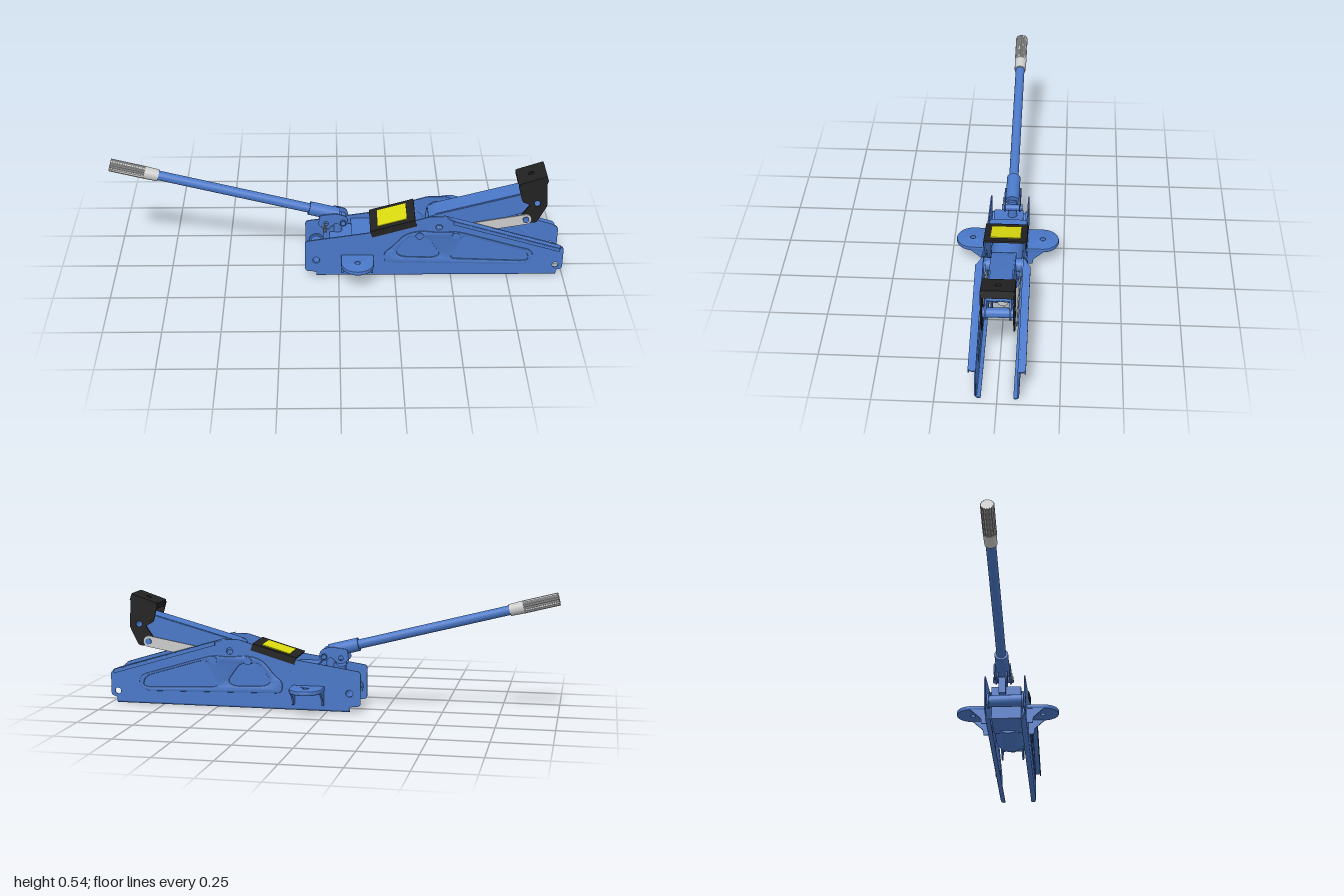
import * as THREE from 'three';
import { toCreasedNormals } from 'three/addons/utils/BufferGeometryUtils.js';

const mat = (color) => new THREE.MeshStandardMaterial({ color, side: THREE.DoubleSide });

export function createModel() {
  const root = new THREE.Group();
  const blue = mat(0x4a78c8), black = mat(0x222222), grey = mat(0xcccccc), yellow = mat(0xdede10);

  const add = (name, geo, material, parent = root) => {
    const m = new THREE.Mesh(geo, material);
    m.name = name;
    parent.add(m);
    return m;
  };
  const hole = (x, y, r) => new THREE.Path().absarc(x, y, r, 0, Math.PI * 2, true);
  // closed outline with softly rounded corners
  const outline = (pts, r = 0.008, Type = THREE.Shape) => {
    const s = new Type(), v = pts.map((p) => new THREE.Vector2(...p)), n = v.length;
    v.forEach((p, i) => {
      const step = (q) => {
        const d = q.clone().sub(p), l = d.length();
        return p.clone().add(d.multiplyScalar(Math.min(r, l * 0.45) / l));
      };
      const a = step(v[(i + n - 1) % n]), b = step(v[(i + 1) % n]);
      if (i) s.lineTo(a.x, a.y); else s.moveTo(a.x, a.y);
      s.quadraticCurveTo(p.x, p.y, b.x, b.y);
    });
    s.closePath();
    return s;
  };
  // sheet lying in the xy plane, from z0 to z0 + depth
  const sheet = (shape, z0, depth, bevel = 0) => {
    const g = new THREE.ExtrudeGeometry(shape, {
      depth: depth - bevel, curveSegments: 8, bevelEnabled: bevel > 0,
      bevelThickness: bevel, bevelSize: bevel, bevelOffset: -bevel, bevelSegments: 2,
    });
    g.translate(0, 0, z0);
    return toCreasedNormals(g, 0.6);
  };
  const ring = (x, y, r, inner, z0, depth) => {
    const s = new THREE.Shape().absarc(x, y, r, 0, Math.PI * 2);
    s.holes.push(hole(x, y, inner));
    return sheet(s, z0, depth);
  };
  // round bar between two points
  const bar = (a, b, r, sides = 24, r2 = r) => {
    const p = new THREE.Vector3(...a), q = new THREE.Vector3(...b), d = q.clone().sub(p);
    const g = new THREE.CylinderGeometry(r2, r, d.length(), sides);
    g.applyQuaternion(new THREE.Quaternion().setFromUnitVectors(new THREE.Vector3(0, 1, 0), d.normalize()));
    const c = p.add(q).multiplyScalar(0.5);
    return g.translate(c.x, c.y, c.z);
  };

  // one side of the frame, built at +z and mirrored for the other
  const frameSide = (name) => {
    const g = new THREE.Group();
    g.name = name;
    const web = outline([[-0.15, 0.03], [-0.10, 0.025], [-0.10, 0.012], [0.97, 0.012], [0.97, 0.03], [0.997, 0.035],
      [0.997, 0.145], [0.96, 0.165], [0.48, 0.308], [0.40, 0.31], [0.32, 0.285], [0.14, 0.228], [-0.15, 0.184]], 0.015);
    web.holes.push(hole(-0.10, 0.086, 0.016), hole(0.965, 0.056, 0.014), hole(0.44, 0.256, 0.015));
    add('sideWeb', sheet(web, 0.082, 0.006), blue, g);

    // raised stiffening panel with two sunken triangular fields
    const panel = outline([[0.20, 0.075], [0.83, 0.062], [0.865, 0.09], [0.855, 0.135], [0.52, 0.235],
      [0.44, 0.23], [0.36, 0.24], [0.29, 0.222], [0.23, 0.15], [0.20, 0.13]], 0.03);
    const fields = [
      [[0.25, 0.125], [0.30, 0.205], [0.39, 0.205], [0.45, 0.12], [0.42, 0.10], [0.28, 0.105]],
      [[0.49, 0.095], [0.55, 0.215], [0.60, 0.20], [0.83, 0.13], [0.845, 0.09], [0.82, 0.08]],
    ];
    fields.forEach((f) => panel.holes.push(outline(f, 0.025, THREE.Path)));
    add('raisedPanel', sheet(panel, 0.085, 0.008, 0.004), blue, g);
    for (const x of [0.355, 0.515]) add('rivet', bar([x, 0.215, 0.08], [x, 0.215, 0.098], 0.017), blue, g);

    // flanges: inward at the bottom, outward along the sloping top edge
    const foot = new THREE.Shape().moveTo(-0.065, 0.001).lineTo(-0.074, 0.001)
      .quadraticCurveTo(-0.088, 0.001, -0.088, 0.018).lineTo(-0.083, 0.018)
      .quadraticCurveTo(-0.083, 0.006, -0.074, 0.006).lineTo(-0.065, 0.006);
    const footGeo = sheet(foot, 0, 1.07);
    footGeo.rotateY(Math.PI / 2).translate(-0.10, 0, 0);
    add('bottomFlange', footGeo, blue, g);
    const dx = 0.52, dy = -0.158, len = Math.hypot(dx, dy);
    const lip = new THREE.Shape().moveTo(0, 0.084).lineTo(0.05, 0.113).lineTo(len - 0.01, 0.113).lineTo(len, 0.104).lineTo(len, 0.084);
    const lipGeo = sheet(lip, 0, 0.007);
    lipGeo.rotateX(Math.PI / 2).rotateZ(Math.atan2(dy, dx)).translate(0.46, 0.315, 0);
    add('topLip', lipGeo, blue, g);
    const drop = outline([[0.50, 0.30], [0.975, 0.155], [0.975, 0.14], [0.50, 0.284]], 0.003);
    add('lipEdge', sheet(drop, 0.109, 0.005), blue, g);

    // foot ear with a rounded end and two gussets
    const ear = new THREE.Shape().moveTo(0.01, 0.088).lineTo(0.01, 0.155)
      .absarc(0.082, 0.155, 0.072, Math.PI, 0, true).lineTo(0.154, 0.088);
    ear.holes.push(hole(0.082, 0.155, 0.016));
    const earGeo = sheet(ear, 0, 0.015, 0.004);
    earGeo.rotateX(Math.PI / 2).translate(0, 0.111, 0);
    add('earTop', earGeo, blue, g);
    const gusset = outline([[-0.088, 0.10], [-0.165, 0.10], [-0.115, 0.055], [-0.113, 0.03], [-0.088, 0.03]], 0.006);
    for (const x of [0.012, 0.144]) {
      const e = sheet(gusset, 0, 0.008);
      e.rotateY(Math.PI / 2).translate(x, 0, 0);
      add('earGusset', e, blue, g);
    }
    add('pivotWasher', ring(0.44, 0.245, 0.042, 0.016, 0.074, 0.007), blue, g);
    add('rollerFlange', ring(-0.10, 0.086, 0.034, 0.016, 0.070, 0.009), blue, g);

    // lever side of the lifting arm, with its lower crank
    const side = outline([[0.385, 0.22], [0.395, 0.29], [0.43, 0.30], [0.82, 0.405], [0.875, 0.405], [0.90, 0.36],
      [0.87, 0.325], [0.55, 0.225], [0.50, 0.04], [0.44, 0.04]], 0.02);
    side.holes.push(hole(0.866, 0.362, 0.014), hole(0.44, 0.256, 0.016));
    add('armSide', sheet(side, 0.045, 0.007), blue, g);

    // levelling link
    const link = new THREE.Shape();
    const ang = Math.atan2(0.07, 0.39), c = Math.PI / 2;
    link.absarc(0.43, 0.215, 0.025, ang + c, ang + 3 * c).absarc(0.82, 0.285, 0.025, ang - c, ang + c).closePath();
    add('levelLink', sheet(link, 0.069, 0.005), grey, g);
    add('linkPin', bar([0.82, 0.285, 0.06], [0.82, 0.285, 0.08], 0.014), blue, g);

    // cheek of the saddle
    const cheek = outline([[0.777, 0.452], [0.90, 0.493], [0.91, 0.35], [0.868, 0.265], [0.80, 0.262],
      [0.79, 0.29], [0.835, 0.355], [0.80, 0.37]], 0.012);
    cheek.holes.push(hole(0.866, 0.362, 0.014));
    add('saddleCheek', sheet(cheek, 0.061, 0.006), black, g);
    return g;
  };
  root.add(frameSide('leftFrameSide'));
  const other = frameSide('rightFrameSide');
  other.scale.z = -1;
  root.add(other);

  // hollow cross tubes
  add('rearRoller', ring(-0.10, 0.086, 0.026, 0.016, -0.08, 0.16), blue);
  add('armPivotTube', ring(0.44, 0.256, 0.028, 0.016, -0.082, 0.164), blue);
  add('saddlePivotTube', ring(0.866, 0.362, 0.02, 0.014, -0.062, 0.124), blue);

  // arm top plate, folded slightly at the rear
  const armTop = outline([[0.395, 0.285], [0.43, 0.302], [0.82, 0.408], [0.85, 0.408], [0.85, 0.40], [0.82, 0.399], [0.43, 0.292], [0.395, 0.272]], 0.004);
  add('armTop', sheet(armTop, -0.046, 0.092), blue);
  add('crankPin', bar([0.475, 0.10, -0.052], [0.475, 0.10, 0.052], 0.02), blue);

  // saddle top with a centre hole and turned-down edges
  const saddle = new THREE.Group();
  saddle.name = 'saddleTop';
  saddle.position.set(0.84, 0.474, 0);
  saddle.rotation.z = Math.atan2(0.042, 0.123);
  const top = outline([[-0.064, -0.067], [0.064, -0.067], [0.064, 0.067], [-0.064, 0.067]], 0.01);
  top.holes.push(hole(0, 0, 0.013));
  const topGeo = sheet(top, 0, 0.007);
  topGeo.rotateX(Math.PI / 2).translate(0, 0.004, 0);
  add('saddlePlate', topGeo, black, saddle);
  for (const s of [-1, 1]) {
    add('saddleEdge', new THREE.BoxGeometry(0.006, 0.03, 0.128), black, saddle).position.set(s * 0.06, -0.013, 0);
  }
  root.add(saddle);

  // hydraulic unit
  add('pumpBlock', new THREE.BoxGeometry(0.17, 0.15, 0.13), blue).position.set(0.045, 0.105, 0);
  add('reservoir', bar([0.1, 0.09, 0], [0.33, 0.09, 0], 0.071, 40), blue);
  add('hexNut', bar([0.32, 0.098, 0], [0.355, 0.098, 0], 0.058, 6), blue);
  add('pistonRod', bar([0.35, 0.11, 0], [0.51, 0.11, 0], 0.023), grey);

  // sloping cover and its coloured panel
  const cover = new THREE.Group();
  cover.name = 'cover';
  cover.position.set(0.237, 0.262, 0);
  cover.rotation.z = 0.285;
  add('coverPlate', new THREE.BoxGeometry(0.205, 0.008, 0.182), black, cover);
  add('coverPanel', new THREE.BoxGeometry(0.132, 0.004, 0.13), yellow, cover).position.set(0, 0.005, 0);
  for (const s of [-1, 1]) add('coverFlap', new THREE.BoxGeometry(0.205, 0.03, 0.004), black, cover).position.set(0, -0.013, s * 0.09);
  root.add(cover);
  add('rearDeck', new THREE.BoxGeometry(0.10, 0.008, 0.162), blue).position.set(0.105, 0.195, 0);

  // handle, running along one sloping axis
  const hz = -0.016;
  const at = (x) => [x, 0.30 - 0.26 * (x + 0.15), hz];
  add('handleRod', bar(at(-0.82), at(-0.03), 0.021), blue);
  add('handleSocket', bar(at(-0.13), at(0.0), 0.03), blue);
  add('gripCollar', bar(at(-0.845), at(-0.785), 0.028, 24, 0.026), grey);
  const teeth = [];
  for (let i = 0; i < 48; i++) {
    const a = (i / 48) * Math.PI * 2, r = i % 3 ? 0.028 : 0.0235;
    teeth.push(new THREE.Vector2(Math.cos(a) * r, Math.sin(a) * r));
  }
  const grip = add('flutedGrip', sheet(new THREE.Shape(teeth), 0, 0.152), grey);
  grip.position.set(...at(-0.992));
  grip.lookAt(...at(0));

  // handle yoke, pump plunger and return spring
  const yoke = outline([[-0.09, 0.225], [-0.085, 0.275], [-0.01, 0.285], [0.035, 0.27], [0.045, 0.235], [0.02, 0.215], [-0.01, 0.24], [-0.05, 0.205]], 0.014);
  yoke.holes.push(hole(-0.055, 0.235, 0.011), hole(0.02, 0.24, 0.01));
  for (const z of [hz - 0.036, hz + 0.03]) add('handleYoke', sheet(yoke, z, 0.006), blue);
  for (const z of [hz - 0.024, hz + 0.018]) add('yokeLug', ring(-0.055, 0.218, 0.025, 0.011, z, 0.006), blue);
  add('yokePin', ring(0.02, 0.24, 0.014, 0.01, hz - 0.045, 0.09), blue);
  add('plunger', bar([-0.005, 0.16, hz], [-0.005, 0.265, hz], 0.021), blue);
  add('yokeMount', new THREE.BoxGeometry(0.05, 0.07, 0.03), blue).position.set(-0.045, 0.175, hz);
  const coil = [];
  for (let i = 0; i <= 60; i++) {
    const a = (i / 60) * Math.PI * 12;
    coil.push(new THREE.Vector3(-0.06 + 0.006 * Math.cos(a), 0.19 + 0.045 * i / 60, 0.022 + 0.006 * Math.sin(a)));
  }
  add('returnSpring', new THREE.TubeGeometry(new THREE.CatmullRomCurve3(coil), 120, 0.0018, 6), grey);
  return root;
}
